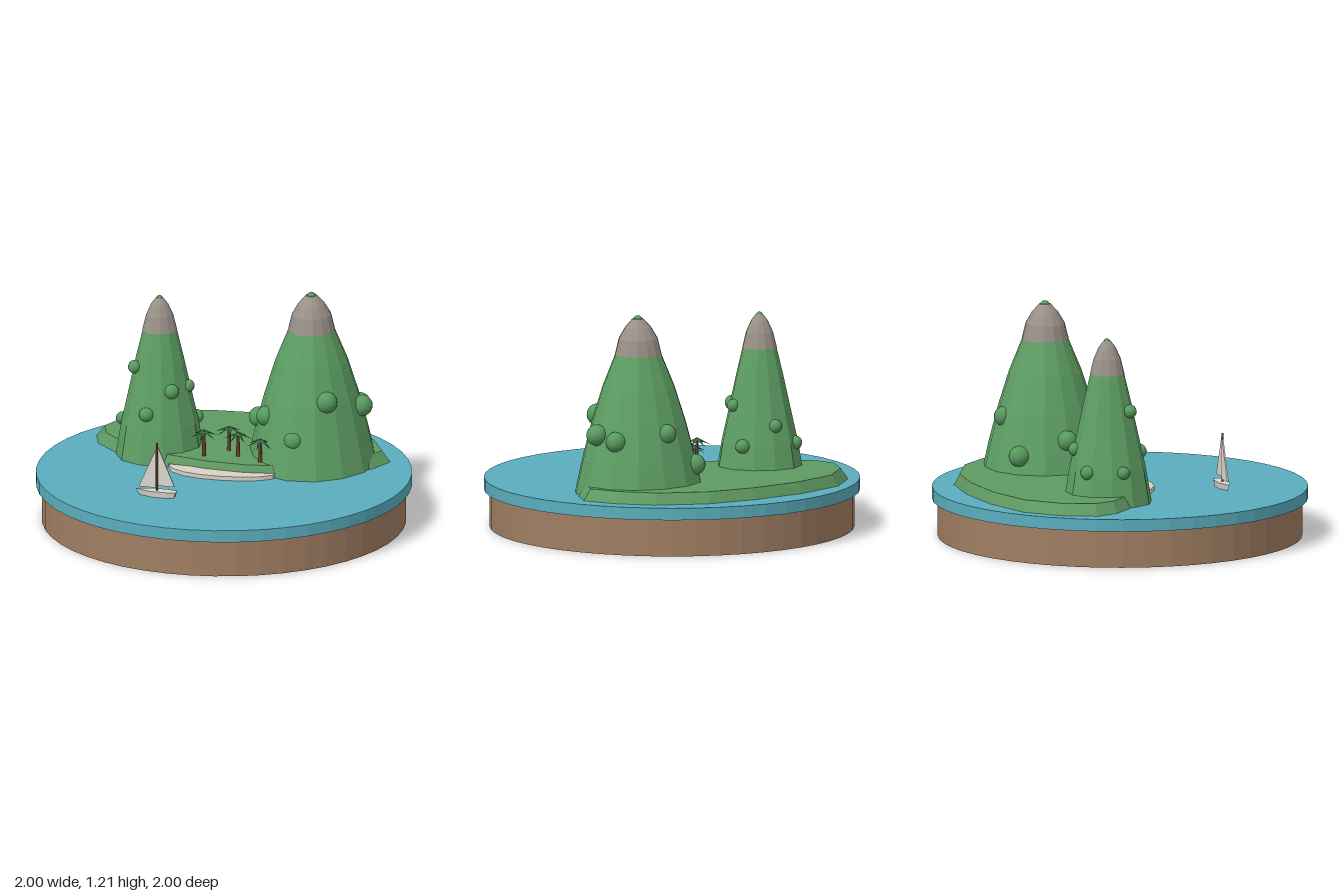
import * as THREE from 'three';

const SEA = 0.265;
const mat = (name, color) => {
  const m = new THREE.MeshStandardMaterial({ color });
  m.name = name;
  return m;
};

// Faceted copy of a geometry
function flat(geometry) {
  const g = geometry.index ? geometry.toNonIndexed() : geometry;
  g.computeVertexNormals();
  return g;
}

function add(parent, name, geometry, material, x = 0, y = 0, z = 0) {
  const mesh = new THREE.Mesh(geometry, material);
  mesh.name = name;
  mesh.position.set(x, y, z);
  parent.add(mesh);
  return mesh;
}

// Slab with sloping sides; outline [x, z] runs clockwise seen from above
function slab(outline, y0, y1, [cx, cz], scale0, scale1) {
  const ring = (y, s) => outline.map(([x, z]) => [cx + (x - cx) * s, y, cz + (z - cz) * s]);
  const low = ring(y0, scale0), high = ring(y1, scale1), pos = [];
  outline.forEach((_, i) => {
    const j = (i + 1) % outline.length;
    pos.push(...low[i], ...high[i], ...low[j], ...low[j], ...high[i], ...high[j]);
    pos.push(cx, y1, cz, ...high[j], ...high[i]);
    pos.push(cx, y0, cz, ...low[i], ...low[j]);
  });
  const g = new THREE.BufferGeometry();
  g.setAttribute('position', new THREE.Float32BufferAttribute(pos, 3));
  return flat(g);
}

// Faceted lathe whose radius varies gently with the angle
function peak(profile, sides, phase) {
  const g = new THREE.LatheGeometry(profile.map(p => new THREE.Vector2(...p)), sides);
  const p = g.attributes.position;
  for (let i = 0; i < p.count; i++) {
    const a = Math.atan2(p.getZ(i), p.getX(i));
    const k = 1 + 0.03 * Math.sin(3 * a + phase);
    p.setXYZ(i, p.getX(i) * k, p.getY(i), p.getZ(i) * k);
  }
  return flat(g);
}

export function createModel() {
  const model = new THREE.Group();
  const earth = mat('earth brown', 0xa07e62);
  const water = mat('sea blue', 0x5aaebe);
  const grass = mat('island green', 0x5f9a62);
  const forest = mat('mountain green', 0x5e9f64);
  const bushGreen = mat('bush green', 0x579a5e);
  const rock = mat('rock grey', 0x9a9188);
  const sand = mat('pale sand', 0xd8d2c6);
  const bark = mat('bark brown', 0x8a5238);
  const leaf = mat('palm green', 0x3f8050);
  const canvas = mat('sail white', 0xdcd8d0);

  // Round base and sea
  add(model, 'base', flat(new THREE.CylinderGeometry(0.97, 0.97, 0.2, 48)), earth, 0, 0.1);
  add(model, 'sea', flat(new THREE.CylinderGeometry(1, 1, 0.065, 48)), water, 0, 0.2325);

  // Island and beach
  const coast = [
    [-0.30, -0.89], [0, -0.88], [0.31, -0.80], [0.57, -0.68], [0.78, -0.48], [0.87, -0.28],
    [0.90, -0.09], [0.80, 0.02], [0.60, 0.10], [0.26, 0.14], [0.10, 0.11], [-0.10, 0.03],
    [-0.30, -0.09], [-0.45, -0.22], [-0.57, -0.38], [-0.64, -0.52], [-0.64, -0.65], [-0.52, -0.79]
  ];
  add(model, 'island', slab(coast, SEA - 0.01, 0.325, [0.12, -0.37], 1, 0.935), grass);

  const beachShape = new THREE.Shape([
    [-0.29, -0.08], [-0.28, -0.01], [-0.22, 0.06], [-0.13, 0.115], [-0.03, 0.15], [0.08, 0.172],
    [0.18, 0.172], [0.25, 0.15], [0.27, 0.11], [0.10, 0.07], [-0.10, 0]
  ].map(([x, z]) => new THREE.Vector2(x, -z)));
  const beach = new THREE.ExtrudeGeometry(beachShape, { depth: 0.025, bevelEnabled: false });
  add(model, 'beach', beach.rotateX(-Math.PI / 2), sand, 0, SEA - 0.003);

  // Mountains: green slopes, rock cap, tuft on top, bushes [x, y, z, radius]
  const mountains = [
    {
      name: 'leftMountain', x: -0.32, z: -0.34, sides: 12, phase: 0.5,
      slope: [[0.237, 0.26], [0.205, 0.45], [0.165, 0.63], [0.128, 0.80], [0.09, 0.96]],
      cap: [[0.093, 0.955], [0.072, 1.04], [0.045, 1.10], [0.018, 1.135], [0, 1.138]], tuft: 0.017,
      bushes: [
        [-0.455, 0.765, -0.29, 0.036], [-0.265, 0.65, -0.20, 0.04], [-0.17, 0.655, -0.28, 0.034],
        [-0.40, 0.53, -0.185, 0.04], [-0.515, 0.45, -0.38, 0.034], [-0.12, 0.45, -0.38, 0.038],
        [-0.25, 0.555, -0.50, 0.036], [-0.39, 0.45, -0.525, 0.038]
      ]
    },
    {
      name: 'rightMountain', x: 0.475, z: -0.135, sides: 14, phase: 2,
      slope: [[0.348, 0.26], [0.305, 0.45], [0.255, 0.64], [0.195, 0.83], [0.122, 1.01]],
      cap: [[0.126, 1.005], [0.105, 1.09], [0.07, 1.15], [0.03, 1.195], [0, 1.2]], tuft: 0.026,
      bushes: [
        [0.54, 0.665, 0.085, 0.058], [0.365, 0.465, 0.11, 0.055], [0.74, 0.595, -0.065, 0.057],
        [0.74, 0.57, -0.19, 0.054], [0.53, 0.605, -0.37, 0.052], [0.34, 0.42, -0.415, 0.056],
        [0.23, 0.55, -0.06, 0.054], [0.20, 0.50, -0.20, 0.054]
      ]
    }
  ];
  for (const m of mountains) {
    const group = new THREE.Group();
    group.name = m.name;
    model.add(group);
    add(group, 'slope', peak(m.slope, m.sides, m.phase), forest, m.x, 0, m.z);
    add(group, 'rockCap', peak(m.cap, m.sides, m.phase), rock, m.x, 0, m.z);
    const top = m.cap[m.cap.length - 1][1];
    add(group, 'tuft', new THREE.SphereGeometry(m.tuft, 10, 8), bushGreen, m.x, top - m.tuft * 0.5, m.z);
    for (const [x, y, z, r] of m.bushes) {
      add(group, 'bush', new THREE.SphereGeometry(r, 16, 12), bushGreen, x, y, z);
    }
  }

  // Palm trees
  const frond = flat(new THREE.ConeGeometry(0.013, 0.085, 4)
    .translate(0, 0.0425, 0).scale(0.5, 1, 1).rotateZ(-1.98));
  const palms = [[-0.10, -0.09, 0.465], [0.04, -0.17, 0.455], [0.08, -0.07, 0.455], [0.19, 0.04, 0.45]];
  palms.forEach(([x, z, top], n) => {
    const palm = new THREE.Group();
    palm.name = 'palm';
    palm.position.set(x, 0, z);
    model.add(palm);
    const h = top - 0.29;
    add(palm, 'trunk', flat(new THREE.CylinderGeometry(0.008, 0.012, h, 7)), bark, 0, 0.29 + h / 2);
    for (let i = 0; i < 6; i++) {
      add(palm, 'frond', frond, leaf, 0, top, 0).rotation.y = i * Math.PI / 3 + n * 0.35 + 0.2;
    }
  });

  // Sailboat, bow towards local -x
  const boat = new THREE.Group();
  boat.name = 'sailboat';
  boat.position.set(-0.385, 0, 0.39);
  boat.rotation.y = -0.36;
  model.add(boat);
  const deck = [[-0.118, 0], [-0.03, -0.03], [0.06, -0.03], [0.108, -0.018],
    [0.108, 0.018], [0.06, 0.03], [-0.03, 0.03]];
  add(boat, 'hull', slab(deck, SEA - 0.005, 0.298, [0.03, 0], 0.82, 1), canvas);
  add(boat, 'mast', new THREE.CylinderGeometry(0.005, 0.005, 0.27, 8), bark, 0, 0.425);
  const sail = (name, points) => {
    const shape = new THREE.Shape(points.map(p => new THREE.Vector2(...p)));
    const g = new THREE.ExtrudeGeometry(shape, { depth: 0.008, bevelEnabled: false });
    add(boat, name, g, canvas, 0, 0, -0.004);
  };
  sail('jib', [[-0.1, 0.312], [-0.006, 0.312], [-0.006, 0.525]]);
  sail('mainsail', [[0.006, 0.325], [0.098, 0.325], [0.006, 0.54]]);

  return model;
}
